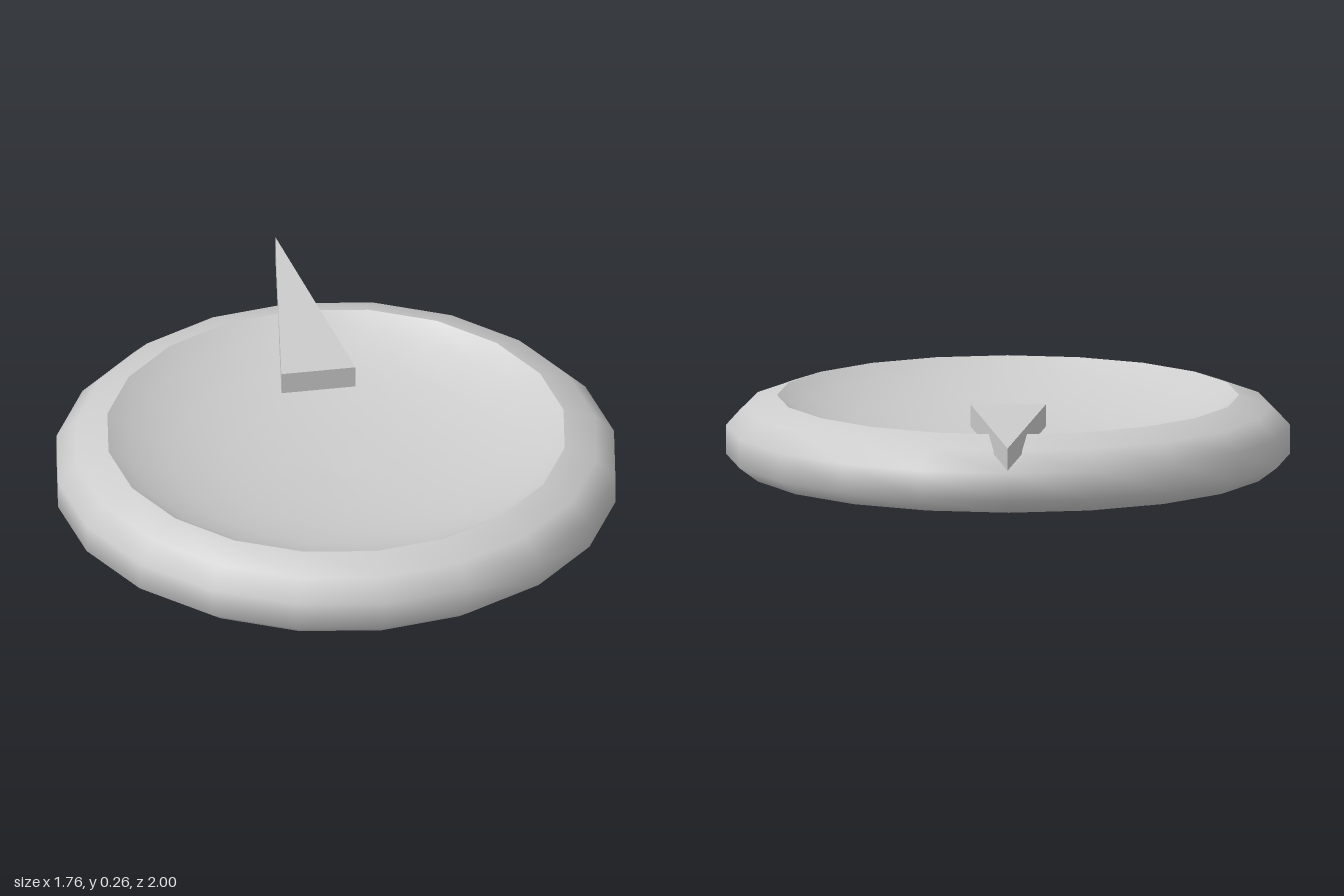
import * as THREE from 'three';

export function createModel() {
  const group = new THREE.Group();
  const material = new THREE.MeshStandardMaterial({ color: 0xcccccc });
  const add = (name, geometry, z = 0) => {
    const mesh = new THREE.Mesh(geometry, material);
    mesh.name = name;
    mesh.position.z = z;
    group.add(mesh);
    return mesh;
  };
  const lathe = (profile) =>
    new THREE.LatheGeometry(profile.map(([r, y]) => new THREE.Vector2(r, y)), 20);
  const centreZ = 0.118;

  // Rounded outer body with a flat underside
  add('body', lathe([
    [0, 0], [0.74, 0], [0.82, 0.005], [0.88, 0.05], [0.88, 0.14], [0.82, 0.2], [0.72, 0.235],
  ]), centreZ);

  // Hollow dish, kept separate so the rim edge stays sharp
  add('dish', lathe([
    [0.72, 0.235], [0.65, 0.19], [0.52, 0.14], [0.36, 0.105], [0.18, 0.085], [0, 0.08],
  ]), centreZ);

  // Tapered pointer lying over the back of the rim
  const outline = new THREE.Shape([
    new THREE.Vector2(-0.117, 0.2),
    new THREE.Vector2(0.117, 0.2),
    new THREE.Vector2(0.004, 1),
  ]);
  const pointer = new THREE.ExtrudeGeometry(outline, { depth: 0.07, bevelEnabled: false });
  pointer.rotateX(-Math.PI / 2);
  pointer.translate(0, 0.19, 0);
  add('pointer', pointer);

  return group;
}
